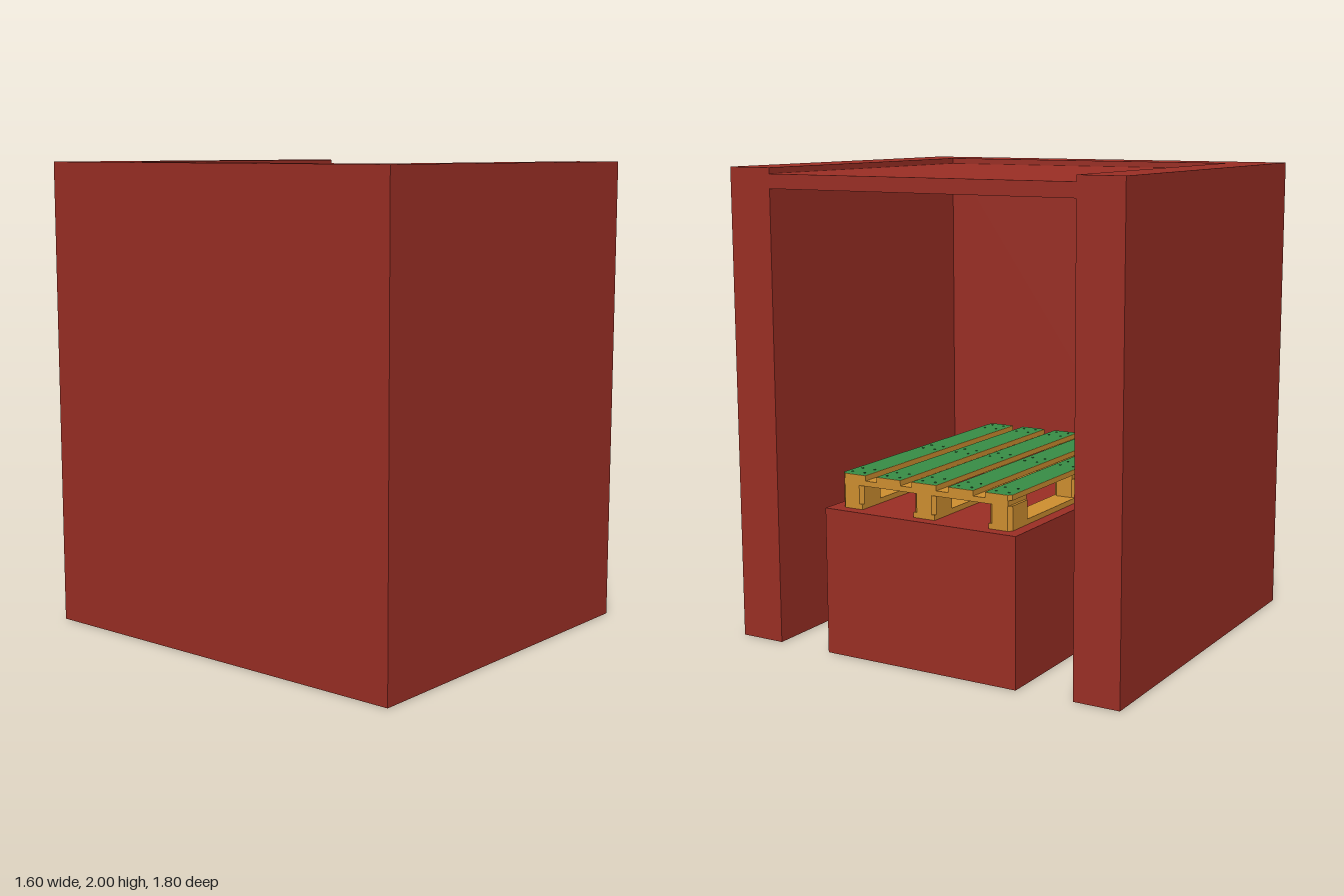
import * as THREE from 'three';

const red = new THREE.MeshStandardMaterial({ color: 0x9c2f25 });
red.name = 'brick red';
const wood = new THREE.MeshStandardMaterial({ color: 0xd09030 });
wood.name = 'pallet wood';
const green = new THREE.MeshStandardMaterial({ color: 0x388e46 });
green.name = 'green deck';

function add(parent, name, geometry, material) {
  const mesh = new THREE.Mesh(geometry, material);
  mesh.name = name;
  parent.add(mesh);
  return mesh;
}

// Box given by its lower and upper limits
function block(parent, name, material, [x0, x1], [y0, y1], [z0, z1]) {
  const g = new THREE.BoxGeometry(x1 - x0, y1 - y0, z1 - z0);
  g.translate((x0 + x1) / 2, (y0 + y1) / 2, (z0 + z1) / 2);
  return add(parent, name, g, material);
}

// Rectangle on the ground plan; front and rear are the chamfers on the +z and -z corners
function plan(x0, x1, z0, z1, front, rear) {
  return new THREE.Shape([
    [x0 + front, z1], [x1 - front, z1], [x1, z1 - front], [x1, z0 + rear],
    [x1 - rear, z0], [x0 + rear, z0], [x0, z0 + rear], [x0, z1 - front],
  ].map(([x, z]) => new THREE.Vector2(x, -z)));
}

// Raise a ground plan from y0 to y1
function raise(shape, y0, y1) {
  const g = new THREE.ExtrudeGeometry(shape, { depth: y1 - y0, bevelEnabled: false });
  return g.rotateX(-Math.PI / 2).translate(0, y0, 0);
}

function createPallet() {
  const pallet = new THREE.Group();
  pallet.name = 'pallet';
  const x0 = -0.45, x1 = 0.75, xm = 0.15, c = 0.015;
  const y = [0.62, 0.642, 0.72, 0.742, 0.764];

  // Three skids, each with three blocks
  for (const i of [-1, 0, 1]) {
    const z = i * 0.35;
    const front = i === 1 ? c : 0, rear = i === -1 ? c : 0;
    add(pallet, 'bottomBoard', raise(plan(x0, x1, z - 0.05, z + 0.05, front, rear), y[0], y[1]), wood);
    for (const j of [-1, 0, 1]) {
      const x = xm + j * 0.5275;
      add(pallet, 'spacerBlock', raise(plan(x - 0.0725, x + 0.0725, z - 0.05, z + 0.05, c, c), y[1], y[2]), wood);
    }
  }

  // Cross boards joining the skids
  for (const j of [-1, 0, 1]) {
    const x = xm + j * 0.5275;
    block(pallet, 'crossBoard', wood, [x - 0.0725, x + 0.0725], [y[2], y[3]], [-0.388, 0.388]);
  }

  // Deck boards with green upper faces and small nail heads
  const nail = new THREE.CylinderGeometry(0.005, 0.005, 0.003, 8);
  for (let i = -2; i <= 2; i++) {
    const z = i * 0.171, h = 0.058;
    const shape = plan(x0, x1, z - h, z + h, i === 2 ? c : 0, i === -2 ? c : 0);
    add(pallet, 'deckBoard', raise(shape, y[3], y[4]), wood);
    const face = new THREE.ShapeGeometry(shape).rotateX(-Math.PI / 2).translate(0, y[4] + 0.001, 0);
    add(pallet, 'deckTop', face, green);
    for (const j of [-1, 0, 1]) for (const dx of [-0.035, 0.035]) for (const dz of [-0.03, 0.03]) {
      add(pallet, 'nailHead', nail, green).position.set(xm + j * 0.5275 + dx, y[4] + 0.002, z + dz);
    }
  }
  return pallet;
}

export function createModel() {
  const model = new THREE.Group();
  model.name = 'palletStation';

  // Walls on three sides, open towards +x
  const walls = new THREE.Shape([
    [-0.8, -0.9], [0.795, -0.9], [0.795, -0.7], [-0.6, -0.7],
    [-0.6, 0.7], [0.795, 0.7], [0.795, 0.9], [-0.8, 0.9],
  ].map(([x, z]) => new THREE.Vector2(x, z)));
  add(model, 'walls', raise(walls, 0, 2), red);

  // Recessed roof panel and the pedestal under the pallet
  block(model, 'roofPanel', red, [-0.6, 0.795], [1.915, 1.975], [-0.7, 0.7]);
  block(model, 'pedestal', red, [-0.6, 0.8], [0, 0.62], [-0.45, 0.45]);

  model.add(createPallet());
  return model;
}
